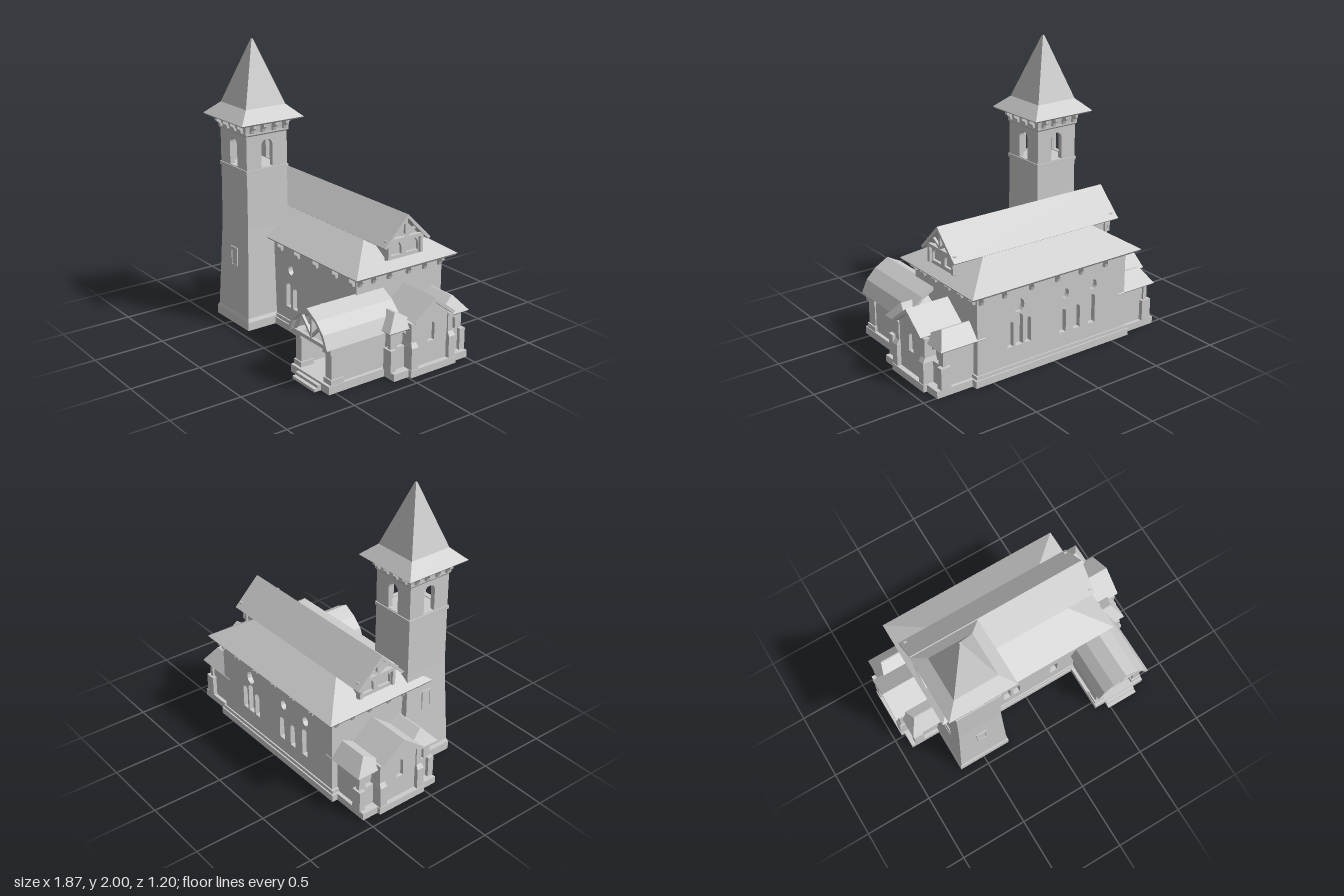
import * as THREE from 'three';

const stone = new THREE.MeshStandardMaterial({ color: 0xcccccc });
stone.name = 'pale grey';

function add(parent, geometry, name) {
  const mesh = new THREE.Mesh(geometry, stone);
  mesh.name = name;
  parent.add(mesh);
  return mesh;
}

// Box given by its limits
function box(parent, name, x0, x1, y0, y1, z0, z1) {
  const g = new THREE.BoxGeometry(x1 - x0, y1 - y0, z1 - z0);
  return add(parent, g.translate((x0 + x1) / 2, (y0 + y1) / 2, (z0 + z1) / 2), name);
}

// Solid through rectangular sections [x0, x1, z0, z1, y], bottom to top
function loft(parent, name, sections) {
  const rings = sections.map(([x0, x1, z0, z1, y]) => [[x0, y, z1], [x1, y, z1], [x1, y, z0], [x0, y, z0]]);
  const pos = [];
  const quad = (a, b, c, d) => pos.push(...a, ...b, ...c, ...a, ...c, ...d);
  for (let i = 0; i + 1 < rings.length; i++) {
    for (let k = 0; k < 4; k++) {
      const n = (k + 1) % 4;
      quad(rings[i][k], rings[i][n], rings[i + 1][n], rings[i + 1][k]);
    }
  }
  const b = rings[0], t = rings[rings.length - 1];
  quad(b[3], b[2], b[1], b[0]);
  quad(t[0], t[1], t[2], t[3]);
  const g = new THREE.BufferGeometry();
  g.setAttribute('position', new THREE.Float32BufferAttribute(pos, 3));
  g.computeVertexNormals();
  return add(parent, g, name);
}

// Flat outline with holes, extruded backwards from z = 0
function slab(parent, name, points, depth, holes = []) {
  const shape = new THREE.Shape(points.map(p => new THREE.Vector2(...p)));
  shape.holes = holes;
  const g = new THREE.ExtrudeGeometry(shape, { depth, bevelEnabled: false, curveSegments: 6 });
  return add(parent, g.translate(0, 0, -depth), name);
}

const rect = (x0, x1, y0, y1) => [[x0, y0], [x1, y0], [x1, y1], [x0, y1]];

function arch(cx, w, y0, y1) {
  const r = w / 2, p = new THREE.Path();
  p.moveTo(cx - r, y0);
  p.lineTo(cx + r, y0);
  p.lineTo(cx + r, y1 - r);
  p.absarc(cx, y1 - r, r, 0, Math.PI, false);
  p.closePath();
  return p;
}

function oculus(cx, cy, r) {
  return new THREE.Path().absellipse(cx, cy, r, r * 1.2, 0, Math.PI * 2, false, 0);
}

// Bar between two points of a plane facing z
function beam(parent, name, x0, y0, x1, y1, z, t) {
  const m = add(parent, new THREE.BoxGeometry(Math.hypot(x1 - x0, y1 - y0), t, t), name);
  m.position.set((x0 + x1) / 2, (y0 + y1) / 2, z);
  m.rotation.z = Math.atan2(y1 - y0, x1 - x0);
}

// Eave bracket, reaching out along +x before turning
function bracket(parent, x, y, z, angle) {
  const m = slab(parent, 'eaveBracket', [[-0.01, 0], [-0.01, -0.07], [0.018, -0.07], [0.026, -0.045], [0.05, -0.03], [0.05, 0]], 0.024);
  m.geometry.translate(0, 0, 0.012);
  m.position.set(x, y, z);
  m.rotation.y = angle;
}

// Roof shell of two slopes running along x
function gableRoof(parent, name, x0, x1, half, eave, ridge, t) {
  const m = slab(parent, name, [[-half, eave], [-half + t * 0.8, eave - t * 0.6], [0, ridge - t * 1.4],
    [half - t * 0.8, eave - t * 0.6], [half, eave], [0, ridge]], x1 - x0);
  m.rotation.y = Math.PI / 2;
  m.position.x = x1;
  return m;
}

function buildHall() {
  const hall = new THREE.Group();
  hall.name = 'hall';
  box(hall, 'plinth', -0.65, 0.635, 0, 0.05, -0.55, 0.21);
  box(hall, 'plinthCourse', -0.635, 0.622, 0.05, 0.075, -0.54, 0.2);
  box(hall, 'hallCore', -0.62, 0.61, 0.05, 0.65, -0.495, 0.155);
  slab(hall, 'frontWall', rect(-0.62, 0.61, 0.05, 0.65), 0.035, [
    arch(-0.15, 0.055, 0.17, 0.35), arch(-0.072, 0.055, 0.17, 0.33), oculus(-0.12, 0.45, 0.03), arch(0.245, 0.06, 0.19, 0.34),
  ]).position.z = 0.19;
  const back = slab(hall, 'backWall', rect(-0.61, 0.62, 0.05, 0.65), 0.035, [
    arch(-0.35, 0.05, 0.2, 0.38), arch(-0.28, 0.06, 0.2, 0.42), arch(-0.21, 0.05, 0.2, 0.38), oculus(-0.28, 0.48, 0.04),
    arch(0.08, 0.055, 0.18, 0.35), arch(0.2, 0.055, 0.18, 0.35), arch(0.33, 0.055, 0.18, 0.39),
    oculus(0.1, 0.46, 0.03), oculus(0.34, 0.46, 0.03),
  ]);
  back.rotation.y = Math.PI;
  back.position.z = -0.53;

  // Hipped lower roof with a raised gable roof above it
  loft(hall, 'lowerRoof', [[-0.69, 0.68, -0.59, 0.24, 0.635], [-0.7, 0.69, -0.6, 0.25, 0.65], [-0.45, 0.44, -0.36, 0, 0.81]]);
  const top = new THREE.Group();
  top.name = 'upperGable';
  top.position.z = -0.18;
  hall.add(top);
  gableRoof(top, 'upperRoof', -0.685, 0.67, 0.192, 0.808, 1, 0.02);
  slab(top, 'gableFill', [[-0.17, 0.81], [0.17, 0.81], [0, 0.975]], 1.19).rotation.y = Math.PI / 2;
  top.children[1].position.x = 0.59;
  for (const s of [-1, 1]) {
    const end = new THREE.Group();
    end.name = 'gableEnd';
    end.rotation.y = s * Math.PI / 2;
    top.add(end);
    slab(end, 'louvreWall', rect(-0.13, 0.13, 0.7, 0.83), 0.2, []).position.z = 0.61;
    slab(end, 'louvreFrame', rect(-0.145, 0.145, 0.7, 0.83), 0.02, [arch(-0.07, 0.1, 0.725, 0.815), arch(0.07, 0.1, 0.725, 0.815)]).position.z = 0.63;
    beam(end, 'tieBeam', -0.165, 0.835, 0.165, 0.835, 0.645, 0.022);
    beam(end, 'kingPost', 0, 0.83, 0, 0.98, 0.645, 0.018);
    for (const k of [-1, 1]) {
      beam(end, 'strut', 0, 0.85, k * 0.085, 0.9, 0.645, 0.016);
      beam(end, 'sidePost', k * 0.135, 0.71, k * 0.135, 0.84, 0.64, 0.022);
    }
  }
  for (const x of [-0.43, -0.22, -0.02, 0.19, 0.405, 0.585]) {
    bracket(hall, x, 0.64, 0.19, -Math.PI / 2);
    bracket(hall, x, 0.64, -0.53, Math.PI / 2);
  }
  for (const z of [0.17, 0.06, -0.07, -0.23, -0.37, -0.5]) {
    bracket(hall, 0.61, 0.64, z, 0);
    bracket(hall, -0.62, 0.64, z, Math.PI);
  }
  return hall;
}

function buildTower() {
  const tower = new THREE.Group();
  tower.name = 'tower';
  tower.position.set(-0.49, 0, 0.235);
  const sq = (r, y) => [-r, r, -r, r, y];
  loft(tower, 'towerShaft', [sq(0.202, 0), sq(0.202, 0.06), sq(0.192, 0.085), sq(0.176, 0.45), sq(0.165, 0.72), sq(0.163, 1.125)]);
  loft(tower, 'beltCourse', [sq(0.17, 1.12), sq(0.17, 1.145)]);
  loft(tower, 'cornice', [sq(0.165, 1.38), sq(0.172, 1.39), sq(0.172, 1.41), sq(0.18, 1.47)]);
  loft(tower, 'spire', [sq(0.235, 1.47), sq(0.247, 1.482), sq(0.158, 1.565), sq(0.006, 2)]);
  for (let i = 0; i < 4; i++) {
    const side = new THREE.Group();
    side.name = 'belfrySide';
    side.rotation.y = i * Math.PI / 2;
    tower.add(side);
    slab(side, 'belfryWall', rect(-0.163, 0.163, 1.14, 1.39), 0.035, [arch(0, 0.09, 1.15, 1.345)]).position.z = 0.163;
    for (const x of [-0.13, -0.045, 0.045, 0.13]) bracket(side, x, 1.475, 0.17, -Math.PI / 2);
    // Small stair window on the two outer faces
    if (i === 0 || i === 3) {
      slab(side, 'stairWindow', rect(-0.04, 0.04, 0.42, 0.56), 0.008, [arch(0, 0.06, 0.43, 0.55)]).position.z = 0.181;
    }
  }
  return tower;
}

// End wing: gabled bay between two small hipped pavilions
function buildWing() {
  const wing = new THREE.Group();
  wing.name = 'wing';
  wing.position.z = -0.2;
  box(wing, 'wingPlinth', 0.5, 0.905, 0, 0.05, -0.31, 0.31);
  box(wing, 'bayPlinth', 0.5, 0.93, 0, 0.05, -0.19, 0.19);
  box(wing, 'bayCore', 0.5, 0.87, 0.05, 0.385, -0.14, 0.14);
  const gable = slab(wing, 'bayWall', [[-0.14, 0.05], [0.14, 0.05], [0.14, 0.385], [0, 0.485], [-0.14, 0.385]], 0.03, [arch(0, 0.055, 0.2, 0.33)]);
  gable.rotation.y = Math.PI / 2;
  gable.position.x = 0.895;
  gableRoof(wing, 'bayRoof', 0.5, 0.93, 0.172, 0.375, 0.51, 0.022);
  for (const s of [-1, 1]) {
    const span = (a, b) => (s > 0 ? [a, b] : [-b, -a]);
    loft(wing, 'buttress', [[0.8, 0.925, ...span(0.13, 0.185), 0.05], [0.8, 0.925, ...span(0.13, 0.185), 0.2],
      [0.8, 0.905, ...span(0.135, 0.175), 0.23], [0.8, 0.905, ...span(0.135, 0.175), 0.36]]);
    box(wing, 'pavilionCore', 0.5, 0.82, 0.05, 0.325, ...span(0.1, 0.285));
    const front = slab(wing, 'pavilionWall', rect(-0.09, 0.09, 0.05, 0.325), 0.03, [arch(0, 0.075, 0.2, 0.295)]);
    front.rotation.y = Math.PI / 2;
    front.position.set(0.85, 0, s * 0.21);
    box(wing, 'pavilionPier', 0.8, 0.875, 0.05, 0.2, ...span(0.27, 0.315));
    loft(wing, 'pavilionRoof', [[0.55, 0.875, ...span(0.06, 0.325), 0.315], [0.55, 0.885, ...span(0.05, 0.335), 0.325],
      [0.55, 0.82, ...span(0.235, 0.245), 0.43]]);
  }
  return wing;
}

// Open entrance porch under a faceted barrel roof
function buildPorch() {
  const porch = new THREE.Group();
  porch.name = 'porch';
  porch.position.x = 0.6;
  box(porch, 'porchFloor', -0.205, 0.205, 0, 0.055, 0, 0.55);
  box(porch, 'lowerStep', -0.12, 0.12, 0, 0.02, 0.5, 0.6);
  box(porch, 'upperStep', -0.12, 0.12, 0.02, 0.04, 0.5, 0.575);
  const outer = [[0.212, 0.305], [0.17, 0.395], [0.1, 0.465], [0, 0.52]];
  const inner = [[0.19, 0.305], [0.152, 0.383], [0.09, 0.447], [0, 0.495]];
  const flip = a => a.slice(0, -1).reverse().map(([x, y]) => [-x, y]);
  slab(porch, 'porchRoof', [...outer, ...flip(outer), ...[...inner, ...flip(inner)].reverse()], 0.6).position.z = 0.57;
  slab(porch, 'porchBackGable', [...inner, ...flip(inner)], 0.03).position.z = 0.22;
  for (const s of [-1, 1]) {
    const span = (a, b) => (s > 0 ? [a, b] : [-b, -a]);
    box(porch, 'porchSideWall', ...span(0.155, 0.18), 0.05, 0.31, 0, 0.46);
    box(porch, 'pierBase', ...span(0.12, 0.2), 0.05, 0.09, 0.43, 0.53);
    box(porch, 'pier', ...span(0.13, 0.19), 0.09, 0.26, 0.44, 0.52);
    box(porch, 'pierCap', ...span(0.118, 0.2), 0.26, 0.31, 0.43, 0.535);
    beam(porch, 'trussStrut', 0, 0.32, s * 0.11, 0.435, 0.53, 0.018);
    beam(porch, 'trussRafter', s * 0.185, 0.31, s * 0.1, 0.445, 0.53, 0.02);
    beam(porch, 'trussCollar', s * 0.1, 0.445, 0, 0.495, 0.53, 0.02);
  }
  beam(porch, 'tieBeam', -0.19, 0.3, 0.19, 0.3, 0.53, 0.025);
  beam(porch, 'kingPost', 0, 0.3, 0, 0.49, 0.53, 0.02);
  slab(porch, 'doorFrame', rect(-0.08, 0.08, 0.05, 0.29), 0.025, [arch(0, 0.12, 0.055, 0.27)]).position.z = 0.215;
  return porch;
}

export function createModel() {
  const model = new THREE.Group();
  model.name = 'church';
  const left = buildWing(), right = buildWing();
  left.name = 'leftWing';
  right.name = 'rightWing';
  right.rotation.y = Math.PI;
  right.position.x = -0.01;
  model.add(buildHall(), buildTower(), left, right, buildPorch());
  return model;
}
